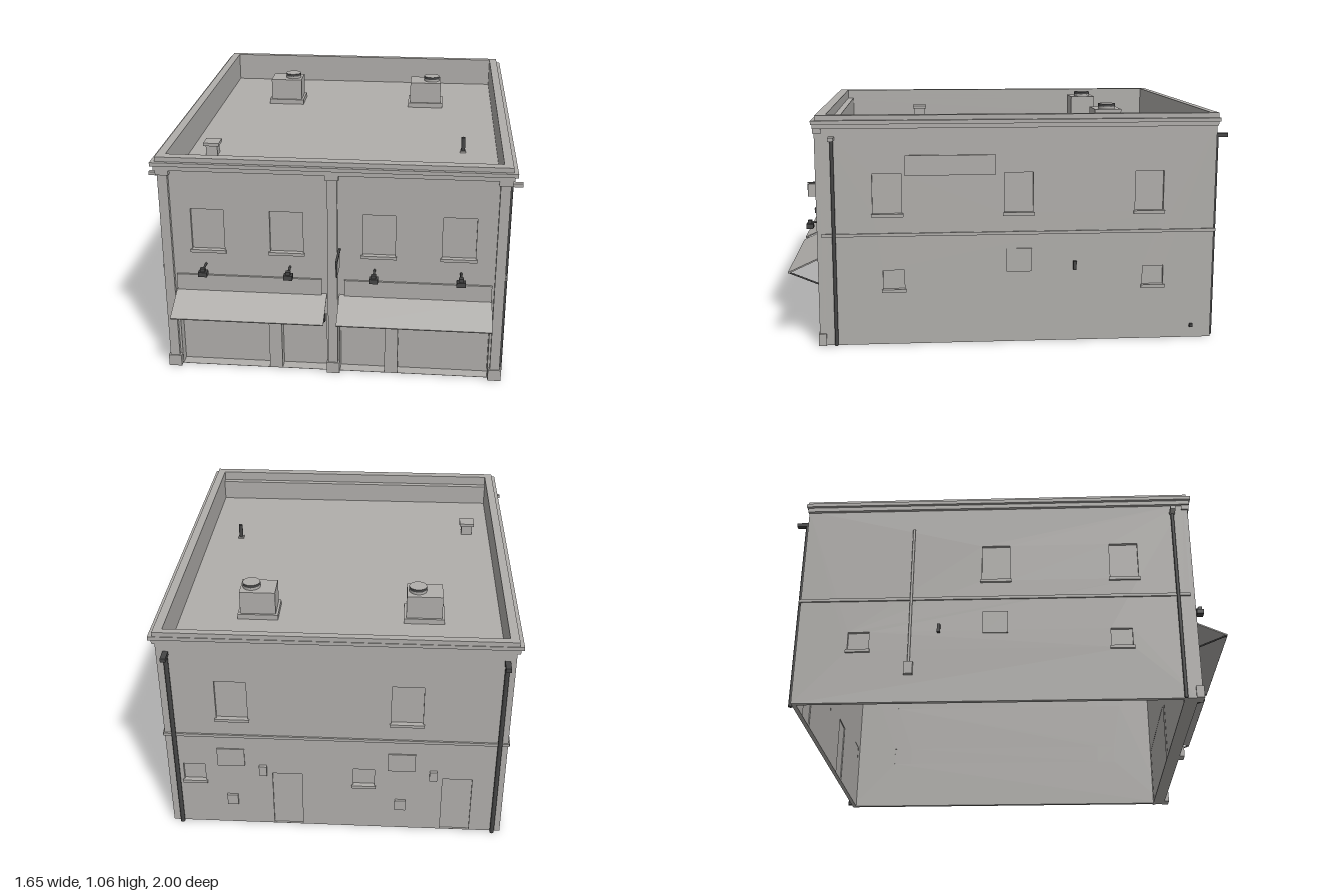
import * as THREE from 'three';

export function createModel() {
  const model = new THREE.Group();
  const stone = new THREE.MeshStandardMaterial({ color: 0xb0aeab });
  stone.name = 'warm grey masonry';
  const iron = new THREE.MeshStandardMaterial({ color: 0x464646 });
  iron.name = 'dark iron';

  const add = (parent, name, geometry, material = stone) => {
    const mesh = new THREE.Mesh(geometry, material);
    mesh.name = name;
    parent.add(mesh);
    return mesh;
  };
  // Box given by its minimum and maximum corners
  const box = (parent, name, x0, x1, y0, y1, z0, z1, material) => {
    const mesh = add(parent, name, new THREE.BoxGeometry(x1 - x0, y1 - y0, z1 - z0), material);
    mesh.position.set((x0 + x1) / 2, (y0 + y1) / 2, (z0 + z1) / 2);
    return mesh;
  };
  // Round bar between two points
  const rod = (parent, name, a, b, r, material = iron) => {
    const from = new THREE.Vector3(...a), to = new THREE.Vector3(...b);
    const dir = to.clone().sub(from);
    const mesh = add(parent, name, new THREE.CylinderGeometry(r, r, dir.length(), 10), material);
    mesh.position.copy(from).add(to).multiplyScalar(0.5);
    mesh.quaternion.setFromUnitVectors(new THREE.Vector3(0, 1, 0), dir.normalize());
    return mesh;
  };
  const rect = (path, x0, x1, y0, y1) =>
    path.moveTo(x0, y0).lineTo(x1, y0).lineTo(x1, y1).lineTo(x0, y1).closePath();

  // Wall in local space: x along, y up, outer face at z = 0
  // opening: [x0, x1, y0, y1, depth of pane, has sill]
  const wall = (name, x0, x1, thick, turn, x, z, openings) => {
    const group = new THREE.Group();
    group.name = name;
    group.rotation.y = turn;
    group.position.set(x, 0, z);
    model.add(group);
    const shape = new THREE.Shape();
    rect(shape, x0, x1, 0, 1.0);
    for (const [a, b, c, d, depth, sill] of openings) {
      const hole = new THREE.Path();
      rect(hole, a, b, c, d);
      shape.holes.push(hole);
      box(group, sill ? 'windowPane' : 'doorPanel', a, b, c, d, -depth - 0.005, -depth);
      if (sill) box(group, 'windowSill', a - 0.007, b + 0.007, c - 0.01, c + 0.004, -depth, 0.01);
    }
    const geometry = new THREE.ExtrudeGeometry(shape, { depth: thick, bevelEnabled: false });
    geometry.translate(0, 0, -thick);
    add(group, name + 'Masonry', geometry);
    return group;
  };
  const win = (x, y0, y1, w) => [x - w / 2, x + w / 2, y0, y1, 0.014, true];

  // Front wall with shopfronts
  const front = wall('frontWall', -0.77, 0.77, 0.06, 0, 0, 0.84, [
    ...[-0.562, -0.207, 0.207, 0.562].map((x) => win(x, 0.6, 0.8, 0.148)),
    [-0.715, -0.03, 0.001, 0.3, 0.054, false],
    [0.03, 0.715, 0.001, 0.3, 0.054, false],
  ]);
  for (const s of [-1, 1]) {
    const mid = s * 0.27;
    box(front, 'shopPier', mid - 0.03, mid + 0.03, 0, 0.3, -0.055, 0);
    box(front, 'shopSignBoard', s * 0.383 - 0.332, s * 0.383 + 0.332, 0.4, 0.478, 0, 0.01);
  }

  // Pilasters with bases and capitals
  for (const x of [-0.747, 0, 0.747]) {
    box(front, 'pilaster', x - 0.022, x + 0.022, 0, 0.99, -0.01, 0.02);
    box(front, 'pilasterBase', x - 0.03, x + 0.03, 0, 0.055, -0.01, 0.025);
    box(front, 'pilasterCapital', x - 0.029, x + 0.029, 0.965, 0.99, -0.01, 0.025);
  }

  // Awnings with support arms
  for (const s of [-1, 1]) {
    const awning = add(model, 'awning', new THREE.BoxGeometry(0.69, 0.006, 0.176));
    awning.position.set(s * 0.373, 0.364, 0.92);
    awning.rotation.x = 0.43;
    for (const x of [0.04, 0.71])
      rod(model, 'awningArm', [s * x, 0.328, 0.995], [s * x, 0.265, 0.845], 0.004);
    for (const x of [0.04, 0.71])
      box(model, 'awningBracket', s * x - 0.004, s * x + 0.004, 0.262, 0.3, 0.838, 0.85, iron);
  }

  // Sign lamps
  for (const x of [-0.577, -0.193, 0.19, 0.575]) {
    rod(model, 'lampArm', [x, 0.533, 0.84], [x, 0.533, 0.915], 0.005);
    box(model, 'lampNeck', x - 0.011, x + 0.011, 0.525, 0.543, 0.9, 0.918, iron);
    box(model, 'lampHead', x - 0.02, x + 0.02, 0.505, 0.527, 0.893, 0.925, iron);
  }

  // Hanging blade sign
  box(model, 'bladeSign', 0.026, 0.034, 0.556, 0.622, 0.872, 0.972);
  box(model, 'bladeSignBar', 0.025, 0.035, 0.624, 0.632, 0.84, 0.977, iron);
  box(model, 'bladeSignEdge', 0.026, 0.034, 0.556, 0.622, 0.972, 0.976, iron);

  // Side walls; "side" is +1 for the wall at +x
  for (const side of [1, -1]) {
    const at = (z) => -side * z;
    const upper = side > 0 ? [0.547, -0.043, -0.638] : [0.547, -0.043];
    const group = wall(side > 0 ? 'leftSideWall' : 'rightSideWall',
      side > 0 ? -0.84 : -0.94, side > 0 ? 0.94 : 0.84, 0.02, side * Math.PI / 2, side * 0.77, 0, [
        ...upper.map((z) => win(at(z), 0.6, 0.785, 0.13)),
        ...[0.522, -0.662].map((z) => win(at(z), 0.253, 0.345, 0.096)),
      ]);
    const v = at(-0.045), m = at(-0.3);
    box(group, 'wallVent', v - 0.057, v + 0.057, 0.33, 0.437, 0, 0.006);
    box(group, 'wallFixture', m - 0.007, m + 0.007, 0.335, 0.375, 0, 0.016, iron);
    const b = at(-0.05);
    box(group, 'beltCourse', b - 0.89, b + 0.89, 0.502, 0.516, 0, 0.008);
    // Front downpipe and its hopper
    const p = at(0.785);
    rod(group, 'downpipe', [p, 0, 0.006], [p, 0.94, 0.006], 0.008);
    box(group, 'pipeHopper', p - 0.012, p + 0.012, 0.937, 0.953, 0, 0.055);
    if (side > 0) {
      box(group, 'sideSignBoard', at(0.466), at(0.06), 0.777, 0.867, 0, 0.01);
      box(group, 'hoseTap', 0.84, 0.855, 0.05, 0.065, 0, 0.012, iron);
    } else {
      rod(group, 'conduit', [-0.43, 0.17, 0.006], [-0.43, 0.88, 0.006], 0.006, stone);
      box(group, 'meterBox', -0.45, -0.41, 0.13, 0.19, 0, 0.018);
    }
  }

  // Back wall: two matching units, x measured in wall space
  const units = [-0.78, 0].map((s) => s + 0.785);
  const backOpenings = [];
  for (const o of units) {
    backOpenings.push(win(o - 0.465, 0.6, 0.8, 0.14), win(o - 0.655, 0.245, 0.34, 0.1));
    backOpenings.push([o - 0.295, o - 0.16, 0.001, 0.3, 0.01, false]);
  }
  const back = wall('backWall', -0.77, 0.77, 0.02, Math.PI, 0, -0.94, backOpenings);
  for (const o of units) {
    box(back, 'wallVent', o - 0.545, o - 0.42, 0.34, 0.435, 0, 0.006);
    box(back, 'doorLamp', o - 0.355, o - 0.32, 0.295, 0.345, 0, 0.015);
    box(back, 'utilityBox', o - 0.51, o - 0.46, 0.115, 0.17, 0, 0.012);
  }
  box(back, 'beltCourse', -0.775, 0.775, 0.502, 0.516, 0, 0.008);
  for (const x of [-0.727, 0.733]) {
    rod(back, 'backDownpipe', [x, 0, 0.01], [x, 0.94, 0.01], 0.01);
    box(back, 'backHopper', x - 0.012, x + 0.012, 0.932, 0.95, 0, 0.06, iron);
  }

  // Roof deck, parapet and stepped cornice
  box(model, 'roofDeck', -0.752, 0.752, 0.88, 0.9, -0.922, 0.79);
  const ring = (name, x, zFront, zBack, y0, y1) => {
    const shape = new THREE.Shape();
    rect(shape, -x, x, -zFront, -zBack);
    const hole = new THREE.Path();
    rect(hole, -0.738, 0.738, -0.81, 0.913);
    shape.holes.push(hole);
    const geometry = new THREE.ExtrudeGeometry(shape, { depth: y1 - y0, bevelEnabled: false });
    geometry.rotateX(-Math.PI / 2);
    geometry.translate(0, y0, 0);
    add(model, name, geometry);
  };
  ring('parapet', 0.76, 0.83, -0.93, 0.885, 0.99);
  ring('corniceLower', 0.784, 0.867, -0.943, 0.988, 1.008);
  ring('corniceLedge', 0.797, 0.872, -0.948, 1.008, 1.025);
  ring('copingCap', 0.777, 0.855, -0.945, 1.025, 1.046);

  // Rooftop air units
  for (const x of [-0.387, 0.378]) {
    box(model, 'airUnitCurb', x - 0.093, x + 0.093, 0.9, 0.925, -0.572, -0.426);
    box(model, 'airUnit', x - 0.082, x + 0.082, 0.925, 1.035, -0.562, -0.436);
    const fan = add(model, 'airUnitFan', new THREE.CylinderGeometry(0.041, 0.041, 0.012, 24), stone);
    fan.position.set(x + 0.032, 1.041, -0.5);
    const cap = add(model, 'fanRim', new THREE.CylinderGeometry(0.041, 0.041, 0.014, 24, 1, true), iron);
    cap.position.set(x + 0.032, 1.053, -0.5);
    const lid = add(model, 'fanLid', new THREE.CylinderGeometry(0.0405, 0.0405, 0.012, 24), stone);
    lid.position.set(x + 0.032, 1.0535, -0.5);
  }

  // Roof vent box and vent pipe
  box(model, 'roofVent', -0.65, -0.595, 0.9, 0.95, 0.37, 0.425);
  box(model, 'roofVentCap', -0.66, -0.585, 0.95, 0.965, 0.36, 0.435);
  box(model, 'ventPipeFlashing', 0.561, 0.589, 0.9, 0.908, 0.256, 0.284);
  rod(model, 'ventPipe', [0.575, 0.9, 0.27], [0.575, 0.975, 0.27], 0.01);
  return model;
}
